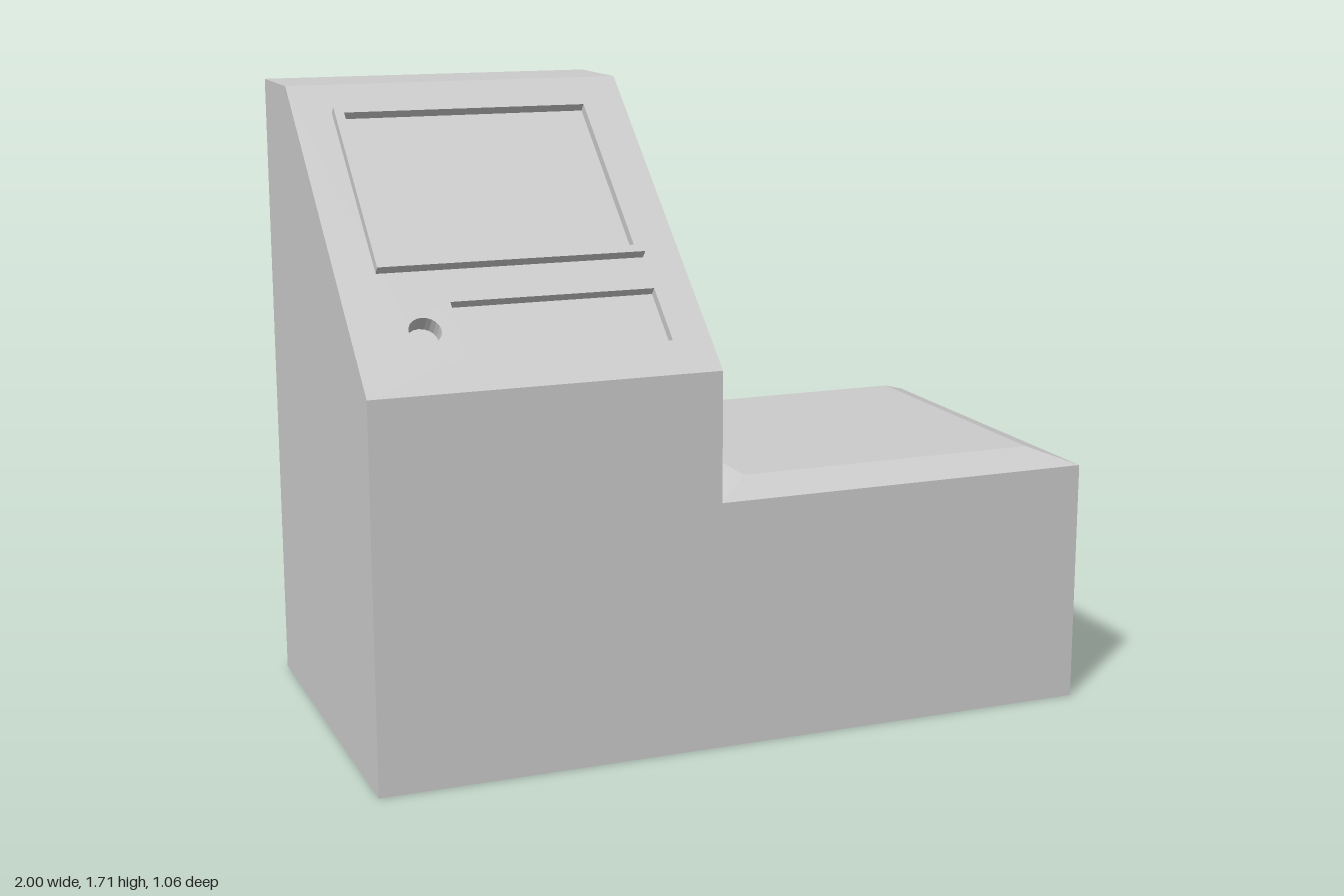
import * as THREE from 'three';

const material = new THREE.MeshStandardMaterial({ color: 0xcccccc, flatShading: true });

// Convex polygons (counter-clockwise seen from outside) to one flat-shaded geometry
function facesGeometry(faces) {
  const pos = [];
  for (const f of faces) {
    for (let i = 1; i < f.length - 1; i++) pos.push(...f[0], ...f[i], ...f[i + 1]);
  }
  const g = new THREE.BufferGeometry();
  g.setAttribute('position', new THREE.Float32BufferAttribute(pos, 3));
  g.computeVertexNormals();
  return g;
}

// Quads joining two loops of equal length
function bandFaces(low, high) {
  return low.map((p, i) => {
    const j = (i + 1) % low.length;
    return [p, low[j], high[j], high[i]];
  });
}

const atDepth = (loop, z) => loop.map(([x, y]) => [x, y, z]);
const rect = (x0, x1, y0, y1) => [[x0, y0], [x1, y0], [x1, y1], [x0, y1]];
const circle = (cx, cy, r, n) => Array.from({ length: n }, (_, i) => {
  const a = (i / n) * Math.PI * 2;
  return [cx + r * Math.cos(a), cy + r * Math.sin(a)];
});
const toVectors = (loop) => loop.map(([x, y]) => new THREE.Vector2(x, y));

function plateGeometry(outline, holes) {
  const shape = new THREE.Shape(toVectors(outline));
  for (const h of holes) shape.holes.push(new THREE.Path(toVectors(h)));
  return new THREE.ShapeGeometry(shape);
}

function add(parent, name, geometry) {
  const mesh = new THREE.Mesh(geometry, material);
  mesh.name = name;
  parent.add(mesh);
  return mesh;
}

export function createModel() {
  const model = new THREE.Group();
  model.name = 'consoleWithBench';

  const X0 = -1, XM = -0.07, X1 = 1, Z = 0.53;
  const benchY = 0.67, frontY = 1.02, topY = 1.71, topZ = -0.265;

  // Low base running the full width
  add(model, 'base', facesGeometry([
    [[X0, 0, Z], [X1, 0, Z], [X1, benchY, Z], [X0, benchY, Z]],
    [[X1, 0, -Z], [X0, 0, -Z], [X0, benchY, -Z], [X1, benchY, -Z]],
    [[X1, 0, Z], [X1, 0, -Z], [X1, benchY, -Z], [X1, benchY, Z]],
    [[X0, 0, -Z], [X0, 0, Z], [X0, benchY, Z], [X0, benchY, -Z]],
    [[X0, 0, -Z], [X1, 0, -Z], [X1, 0, Z], [X0, 0, Z]],
  ]));

  // Upper cabinet, open where the sloping panel fits
  const side = [[benchY, Z], [benchY, -Z], [topY, -Z], [topY, topZ], [frontY, Z]];
  add(model, 'cabinet', facesGeometry([
    side.map(([y, z]) => [XM, y, z]),
    side.map(([y, z]) => [X0, y, z]).reverse(),
    [[X0, benchY, Z], [XM, benchY, Z], [XM, frontY, Z], [X0, frontY, Z]],
    [[XM, benchY, -Z], [X0, benchY, -Z], [X0, topY, -Z], [XM, topY, -Z]],
    [[X0, topY, topZ], [XM, topY, topZ], [XM, topY, -Z], [X0, topY, -Z]],
  ]));

  // Bench top with bevelled edges
  const loop = (x0, x1, z, y) => [[x0, y, z], [x1, y, z], [x1, y, -z], [x0, y, -z]];
  const benchEdge = loop(XM, X1, Z, benchY);
  const benchTop = loop(0.035, 0.89, 0.425, 0.71);
  add(model, 'benchTop', facesGeometry([...bandFaces(benchEdge, benchTop), benchTop]));

  // Sloping panel: local y runs up the slope, local z points out of it
  const panel = new THREE.Group();
  panel.name = 'controlPanel';
  panel.position.set(0, frontY, Z);
  panel.rotation.x = -Math.atan2(Z - topZ, topY - frontY);
  model.add(panel);
  const slope = Math.hypot(Z - topZ, topY - frontY);

  const recesses = [
    { name: 'slot', outline: rect(-0.725, -0.175, 0.11, 0.284), depth: 0.024 },
    { name: 'buttonHole', outline: circle(-0.81, 0.198, 0.042, 20), depth: 0.045 },
  ];
  add(panel, 'panelFace', plateGeometry(rect(X0, XM, 0, slope), recesses.map((r) => r.outline)));

  // Sunken slot and round hole
  for (const { name, outline, depth } of recesses) {
    const inward = [...outline].reverse();
    add(panel, name, facesGeometry([
      ...bandFaces(atDepth(inward, -depth), atDepth(inward, 0)),
      atDepth(outline, -depth),
    ]));
  }

  // Raised screen frame
  const outer = rect(-0.895, -0.175, 0.39, 0.948);
  const inner = rect(-0.87, -0.2, 0.414, 0.925);
  const inward = [...inner].reverse();
  const rise = 0.025;
  add(panel, 'screenFrameFront', plateGeometry(outer, [inner])).position.z = rise;
  add(panel, 'screenFrameEdges', facesGeometry([
    ...bandFaces(atDepth(outer, 0), atDepth(outer, rise)),
    ...bandFaces(atDepth(inward, 0), atDepth(inward, rise)),
  ]));

  return model;
}
